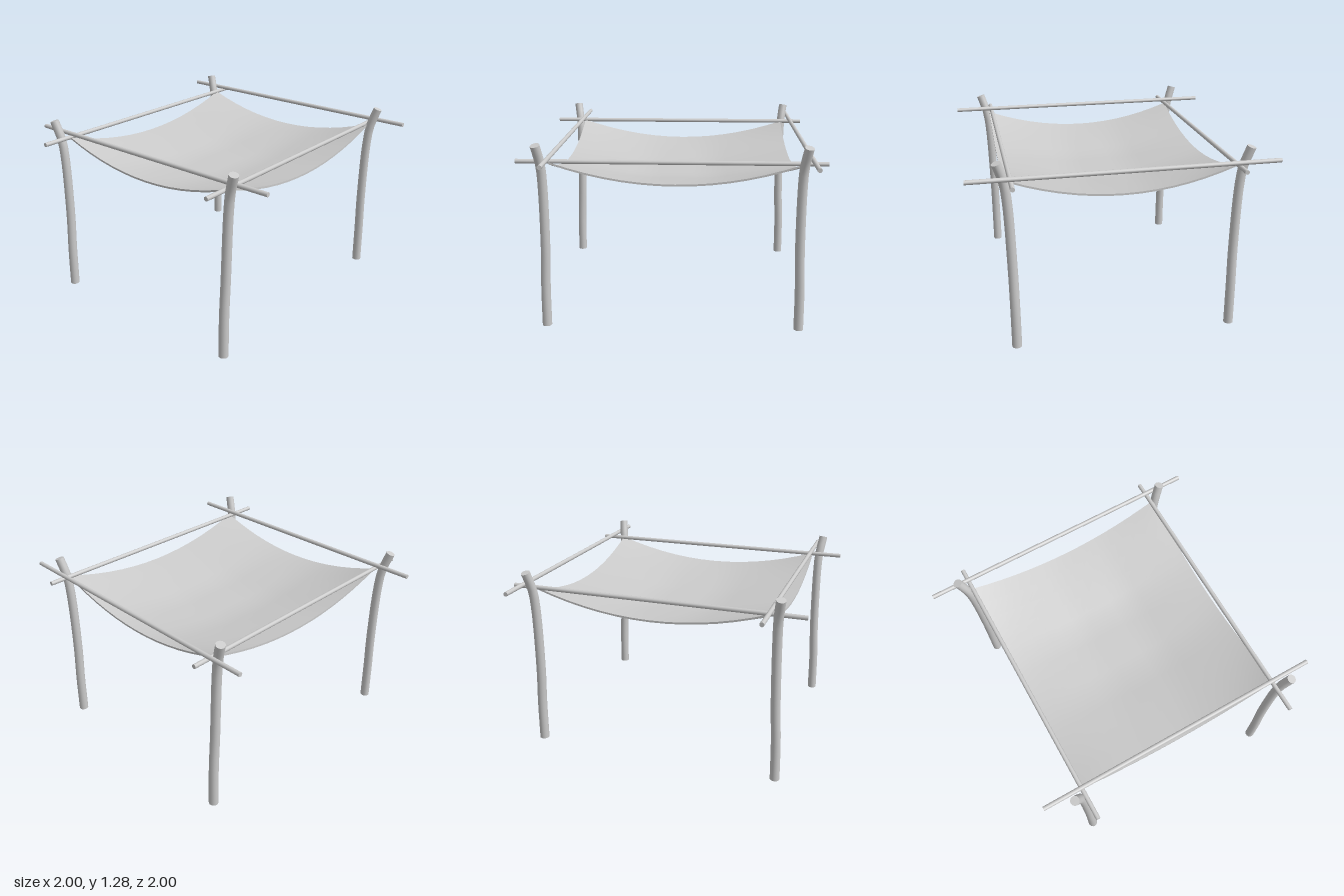
import * as THREE from 'three';

const material = new THREE.MeshStandardMaterial({ color: 0xcccccc });
const UP = new THREE.Vector3(0, 1, 0);

function addMesh(group, name, geometry) {
  const mesh = new THREE.Mesh(geometry, material);
  mesh.name = name;
  group.add(mesh);
  return mesh;
}

// Capped cylinder bent along a curve, leaning outward at the top
function postGeometry(sx, sz) {
  const curve = new THREE.CatmullRomCurve3([
    [0.735, 0, 0.858], [0.735, 0.28, 0.853], [0.737, 0.55, 0.84], [0.75, 1.0, 0.833],
    [0.766, 1.14, 0.837], [0.806, 1.272, 0.855],
  ].map(([x, y, z]) => new THREE.Vector3(sx * x, y, sz * z - 0.007)));
  const geo = new THREE.CylinderGeometry(0.031, 0.033, 1, 14, 20);
  const pos = geo.attributes.position, nor = geo.attributes.normal;
  const v = new THREE.Vector3(), n = new THREE.Vector3(), q = new THREE.Quaternion();
  for (let i = 0; i < pos.count; i++) {
    const t = THREE.MathUtils.clamp(pos.getY(i) + 0.5, 0, 1);
    q.setFromUnitVectors(UP, curve.getTangentAt(t));
    v.set(pos.getX(i), 0, pos.getZ(i)).applyQuaternion(q).add(curve.getPointAt(t));
    n.fromBufferAttribute(nor, i).applyQuaternion(q);
    pos.setXYZ(i, v.x, t === 0 ? 0 : v.y, v.z);
    nor.setXYZ(i, n.x, n.y, n.z);
  }
  return geo;
}

// Thin sheet hung from its four corners, flat in the middle
function clothGeometry() {
  const hx = 0.735, hz = 0.81;
  const geo = new THREE.BoxGeometry(2 * hx, 0.013, 2 * hz, 14, 1, 14);
  const pos = geo.attributes.position;
  const rise = (u) => 0.085 * Math.max(0, (Math.abs(u) - 2 / 7) / (5 / 7));
  const extra = (u) => 0.14 * u * u - rise(u);
  for (let i = 0; i < pos.count; i++) {
    const u = pos.getX(i) / hx, v = pos.getZ(i) / hz;
    const lift = rise(u) + rise(v) + v * v * extra(u) + u * u * extra(v) - 0.055 * u * u * v * v;
    pos.setY(i, pos.getY(i) + 0.919 + lift);
  }
  geo.computeVertexNormals();
  return geo;
}

export function createModel() {
  const group = new THREE.Group();
  group.name = 'canopy';

  // Four bent posts
  for (const [sx, side] of [[1, 'Left'], [-1, 'Right']]) {
    for (const [sz, end] of [[1, 'front'], [-1, 'back']]) {
      addMesh(group, `${end}${side}Post`, postGeometry(sx, sz));
    }
  }

  // Crossed poles: front and back lie on top of the side pair
  const pole = new THREE.CylinderGeometry(0.015, 0.015, 2, 12);
  for (const [name, z] of [['frontPole', 0.78], ['backPole', -0.9]]) {
    const mesh = addMesh(group, name, pole);
    mesh.rotation.z = Math.PI / 2;
    mesh.position.set(0, 1.18, z);
  }
  for (const [name, x] of [['leftPole', 0.725], ['rightPole', -0.728]]) {
    const mesh = addMesh(group, name, pole);
    mesh.rotation.x = Math.PI / 2;
    mesh.position.set(x, 1.151, 0);
  }

  // Sagging cloth roof
  addMesh(group, 'clothRoof', clothGeometry()).position.set(0.01, 0, -0.028);

  return group;
}
